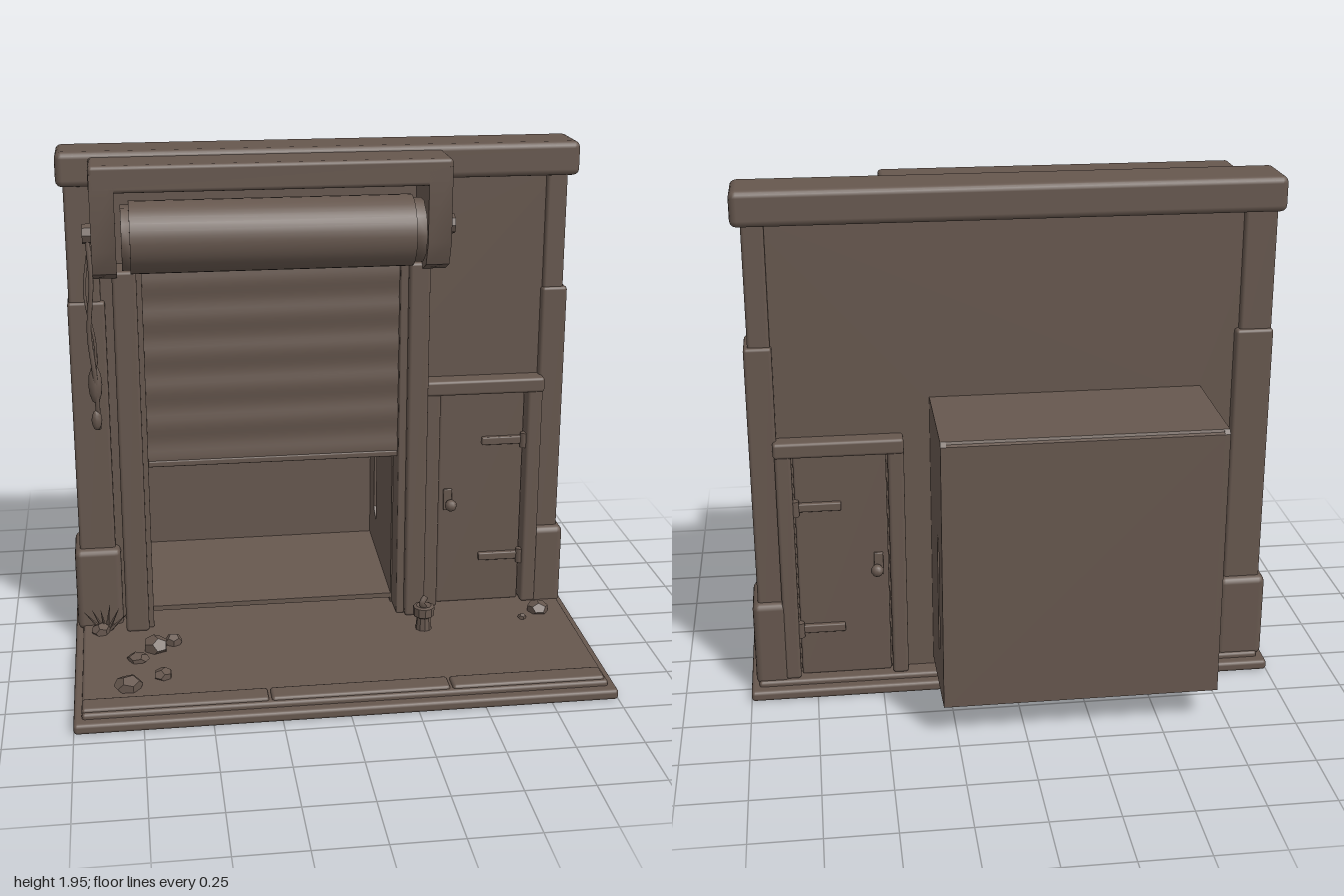
import * as THREE from 'three';
import { toCreasedNormals } from 'three/addons/utils/BufferGeometryUtils.js';
import { RoundedBoxGeometry } from 'three/addons/geometries/RoundedBoxGeometry.js';

export function createModel() {
  const root = new THREE.Group();
  root.name = 'garageFront';
  const clay = new THREE.MeshStandardMaterial({ color: 0x66574e });
  clay.name = 'brownClay';

  const add = (name, geo) => {
    const m = new THREE.Mesh(geo, clay);
    m.name = name;
    root.add(m);
    return m;
  };
  // Softly bevelled block between two corners
  const block = (name, x0, x1, y0, y1, z0, z1, r = 0.012) => {
    const w = x1 - x0, h = y1 - y0, d = z1 - z0;
    const g = new RoundedBoxGeometry(w, h, d, 2, Math.min(r, w / 3, h / 3, d / 3));
    return add(name, g.translate((x0 + x1) / 2, (y0 + y1) / 2, (z0 + z1) / 2));
  };
  const outline = (pts, Type = THREE.Shape) => new Type(pts.map(p => new THREE.Vector2(...p)));
  // Profile drawn in (z, y), extruded along x
  const sidePanel = (name, pts, x0, x1, hole) => {
    const s = outline(pts);
    if (hole) s.holes.push(outline(hole, THREE.Path));
    const g = new THREE.ExtrudeGeometry(s, { depth: x1 - x0, bevelEnabled: false });
    g.rotateY(-Math.PI / 2).translate(x1, 0, 0);
    return add(name, toCreasedNormals(g, 0.6));
  };
  const tube = (name, pts, r, n = 24) => add(name, new THREE.TubeGeometry(
    new THREE.CatmullRomCurve3(pts.map(p => new THREE.Vector3(...p))), n, r, 6));

  // Ground slab and front kerb stones
  block('baseSlab', -1, 1, 0, 0.04, -0.35, 0.69, 0.015);
  block('baseTop', -0.97, 0.97, 0.025, 0.06, -0.31, 0.65);
  [[-0.97, -0.295], [-0.285, 0.375], [0.385, 0.96]].forEach(([a, b]) =>
    block('kerbStone', a, b, 0.03, 0.072, 0.55, 0.635));

  // Main wall with the garage opening
  const wall = outline([[-0.95, 0.05], [0.94, 0.05], [0.94, 1.86], [-0.95, 1.86]]);
  wall.holes.push(outline([[-0.69, 0.06], [-0.69, 1.12], [0.28, 1.12], [0.28, 0.06]], THREE.Path));
  add('wall', new THREE.ExtrudeGeometry(wall, { depth: 0.11, bevelEnabled: false }).translate(0, 0, -0.24));

  // Corner pillars with plinths, and the cap beam
  [[-0.97, -0.83, -0.99, -0.81], [0.86, 0.96, 0.85, 0.98]].forEach(([a, b, c, d]) => {
    block('pillarLower', a, b, 0.05, 1.38, -0.275, -0.1);
    block('pillarUpper', a + 0.005, b - 0.015, 1.3, 1.84, -0.262, -0.11);
    block('plinth', c, d, 0.04, 0.38, -0.3, -0.07, 0.025);
  });
  block('capBeam', -0.99, 0.98, 1.82, 1.95, -0.295, -0.07, 0.025);

  // Shutter frame posts and inner tracks
  block('leftPost', -0.8, -0.71, 0.06, 1.52, -0.15, 0.012);
  block('rightPost', 0.315, 0.395, 0.06, 1.52, -0.15, 0.012);
  block('leftTrack', -0.72, -0.69, 0.06, 1.52, -0.15, -0.02, 0.006);
  block('rightTrack', 0.285, 0.32, 0.06, 1.52, -0.15, -0.02, 0.006);

  // Shutter with shallow waves across its height
  const sheet = new THREE.BoxGeometry(1.0, 0.83, 0.025, 1, 40, 1);
  const sp = sheet.attributes.position;
  for (let i = 0; i < sp.count; i++) {
    sp.setZ(i, sp.getZ(i) + 0.004 * Math.sin(sp.getY(i) * 45));
  }
  sheet.computeVertexNormals();
  add('shutter', sheet.translate(-0.205, 1.145, -0.06));
  block('shutterLip', -0.69, 0.285, 0.73, 0.755, -0.08, -0.04, 0.006);

  // Roller, its flanges and the hood around it
  const rollerPart = (name, r, x0, x1, y, z, sides) => add(name, toCreasedNormals(
    new THREE.CylinderGeometry(r, r, x1 - x0, sides).rotateZ(Math.PI / 2), 0.7)
    .translate((x0 + x1) / 2, y, z));
  rollerPart('roller', 0.133, -0.73, 0.31, 1.655, 0.042, 32);
  rollerPart('rollerFlange', 0.12, -0.76, -0.73, 1.655, 0.04, 10);
  rollerPart('rollerFlange', 0.12, 0.31, 0.35, 1.655, 0.04, 10);
  rollerPart('axlePin', 0.037, 0.4, 0.475, 1.67, 0.025, 8);
  rollerPart('axlePin', 0.037, -0.9, -0.8, 1.67, 0.025, 8);
  block('hoodTop', -0.87, 0.45, 1.83, 1.93, -0.12, 0.12, 0.015);
  const bracket = [[-0.13, 1.9], [-0.13, 1.51], [0.02, 1.5], [0.085, 1.53], [0.12, 1.62], [0.12, 1.9]];
  sidePanel('hoodBracket', bracket, -0.868, -0.78);
  sidePanel('hoodBracket', bracket, 0.36, 0.448);

  // Rear bay: two sides with window gaps, back, roof and floor
  const bay = [[-0.2, 0.085], [-0.2, 1.16], [-0.68, 1.155], [-0.695, 1.14], [-0.695, 0.13]];
  sidePanel('bayLeftSide', bay, 0.28, 0.3, [[-0.51, 0.27], [-0.55, 0.29], [-0.565, 0.31], [-0.565, 0.73], [-0.51, 0.73]]);
  sidePanel('bayRightSide', bay, -0.71, -0.69, [[-0.47, 0.27], [-0.6, 0.2], [-0.65, 0.24], [-0.65, 0.7], [-0.58, 0.73], [-0.55, 0.78], [-0.47, 0.78]]);
  sidePanel('bayBack', [[-0.695, 0.13], [-0.675, 0.13], [-0.675, 1.15], [-0.695, 1.14]], -0.7, 0.29);
  sidePanel('bayRoof', [[-0.2, 1.16], [-0.2, 1.135], [-0.69, 1.13], [-0.68, 1.155]], -0.7, 0.29);
  sidePanel('bayFloor', [[-0.13, 0.08], [-0.695, 0.13], [-0.69, 0.15], [-0.13, 0.1]], -0.7, 0.29);

  // Side door, framed and hinged on both faces
  block('doorFrameSide', 0.4, 0.46, 0.06, 1.0, -0.3, -0.06);
  block('doorFrameSide', 0.81, 0.87, 0.06, 1.0, -0.3, -0.06);
  block('doorFrameTop', 0.4, 0.875, 0.965, 1.025, -0.305, -0.055);
  block('doorLeaf', 0.465, 0.805, 0.06, 0.965, -0.265, -0.1, 0.008);
  [-0.1, -0.265].forEach(z => {
    const out = z > -0.2 ? 1 : -1;
    [0.26, 0.76].forEach(y => {
      const strap = block('hingeStrap', 0.635, 0.81, y - 0.016, y + 0.016, z - 0.012, z + 0.012, 0.005);
      strap.position.z = out * 0.006;
      add('hingeBarrel', new THREE.CylinderGeometry(0.016, 0.016, 0.06, 8).translate(0.805, y, z + out * 0.015));
    });
    block('doorHandlePlate', 0.485, 0.52, 0.47, 0.56, z - 0.01, z + 0.01, 0.004);
    add('doorKnob', new THREE.SphereGeometry(0.024, 10, 8).translate(0.51, 0.5, z + out * 0.035));
  });

  // Pull cord hanging beside the shutter, with its weight
  tube('pullCord', [[-0.885, 1.7, 0.03], [-0.875, 1.5, 0.055], [-0.89, 1.3, 0.05], [-0.875, 1.12, 0.055], [-0.87, 0.92, 0.025]], 0.009);
  tube('cordLoop', [[-0.88, 1.62, 0.03], [-0.9, 1.45, 0.04], [-0.87, 1.25, 0.05], [-0.885, 1.1, 0.03]], 0.006);
  [[1.1, 0.026, 0.075], [0.96, 0.02, 0.04], [1.2, 0.015, 0.04]].forEach(([y, r, h]) =>
    add('cordWeight', new THREE.SphereGeometry(1, 8, 6).scale(r, h, r).translate(-0.877, y, 0.038)));

  // Scattered stones: x, z, width, height, turn
  [[-0.8, 0.47, 0.055, 0.035, 0.4], [-0.67, 0.4, 0.04, 0.025, 1], [-0.69, 0.17, 0.055, 0.04, 2],
   [-0.62, 0.13, 0.035, 0.03, 0], [-0.76, 0.25, 0.045, 0.018, 2.6], [0.86, 0.03, 0.05, 0.03, 1.5],
   [0.78, 0.09, 0.018, 0.015, 0.2], [-0.9, 0.0, 0.04, 0.03, 0.7]].forEach(([x, z, r, h, a]) =>
    add('stone', new THREE.DodecahedronGeometry(1).scale(r, h, r * 0.9).rotateY(a).translate(x, 0.06 + h * 0.4, z)));

  // Small pot beside the right post
  const pot = [[0, 0.06], [0.032, 0.06], [0.027, 0.11], [0.042, 0.12], [0.042, 0.155], [0.03, 0.16], [0, 0.15]];
  add('pot', toCreasedNormals(new THREE.LatheGeometry(pot.map(p => new THREE.Vector2(...p)), 10), 0.6)
    .translate(0.37, 0, 0.125));
  tube('potStem', [[0.37, 0.15, 0.125], [0.36, 0.175, 0.14], [0.375, 0.195, 0.125]], 0.012, 6);

  // Grass tuft at the left corner
  for (let i = 0; i < 6; i++) {
    const lean = (i - 2.5) * 0.4;
    add('grassBlade', new THREE.ConeGeometry(0.009, 0.12, 4).translate(0, 0.06, 0)
      .rotateZ(-lean * 0.7).rotateX(0.15 * (i % 3)).translate(-0.88 + lean * 0.01, 0.055, -0.02));
  }
  return root;
}
